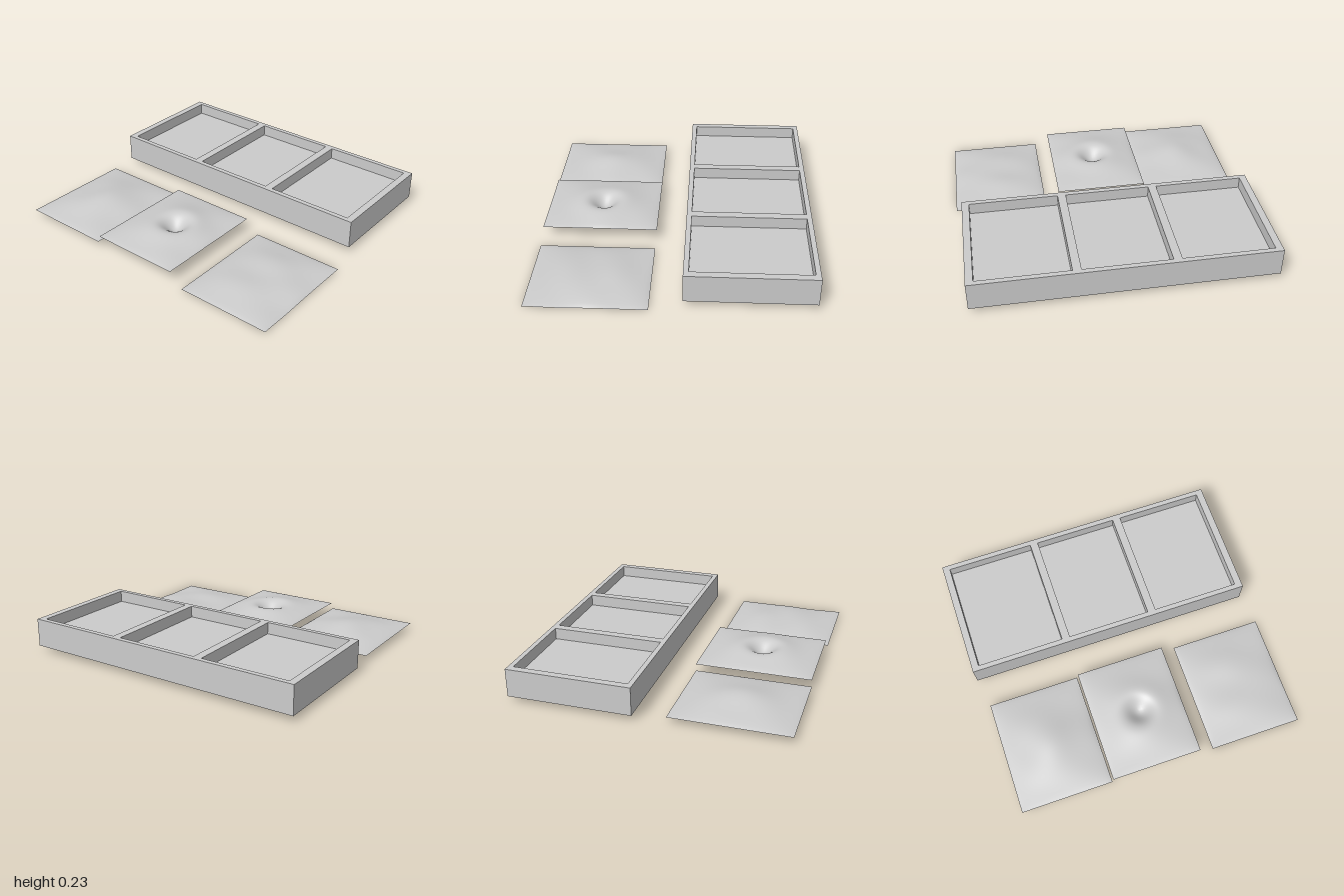
import * as THREE from 'three';

const grey = new THREE.MeshStandardMaterial({ color: 0xcccccc });
const sheetGrey = new THREE.MeshStandardMaterial({ color: 0xcccccc, side: THREE.DoubleSide });

const bell = (x, z, cx, cz, r) => Math.exp(-((x - cx) ** 2 + (z - cz) ** 2) / (r * r));

// A thin landscape sheet: a low dome with four soft swellings plus its own relief
function terrain(name, x0, x1, z0, z1, base, relief) {
  const w = x1 - x0, d = z1 - z0;
  const geo = new THREE.PlaneGeometry(w, d, 48, 40).rotateX(-Math.PI / 2);
  const p = geo.attributes.position;
  for (let i = 0; i < p.count; i++) {
    const x = p.getX(i), z = p.getZ(i);
    const u = 2 * x / w, v = 2 * z / d;
    const fade = Math.max(0, (1 - u * u) * (1 - v * v));
    const dome = 0.036 * Math.pow(fade, 0.7);
    const swell = -0.005 * Math.sqrt(fade) * Math.cos(7 * u) * Math.cos(2.5 * v + 0.6);
    p.setY(i, base + dome + swell + relief(x, z));
  }
  geo.computeVertexNormals();
  const mesh = new THREE.Mesh(geo, sheetGrey);
  mesh.name = name;
  mesh.position.set((x0 + x1) / 2, 0, (z0 + z1) / 2);
  return mesh;
}

// Tray: solid base with a frame of three pockets on top
function tray() {
  const group = new THREE.Group();
  group.name = 'tray';
  const x0 = 0.075, x1 = 0.893, z0 = -1, z1 = 0.95, bottom = 0.04, floor = 0.15, top = 0.228;

  const base = new THREE.Mesh(new THREE.BoxGeometry(x1 - x0, floor - bottom, z1 - z0), grey);
  base.name = 'trayBase';
  base.position.set((x0 + x1) / 2, (floor + bottom) / 2, (z0 + z1) / 2);

  const rect = (path, a, b, c, d) =>
    path.setFromPoints([[a, -d], [b, -d], [b, -c], [a, -c]].map(([x, y]) => new THREE.Vector2(x, y)));
  const outline = rect(new THREE.Shape(), x0, x1, z0, z1);
  for (const [a, b] of [[-0.953, -0.363], [-0.308, 0.257], [0.312, 0.902]]) {
    outline.holes.push(rect(new THREE.Path(), 0.108, 0.86, a, b));
  }
  const frameGeo = new THREE.ExtrudeGeometry(outline, { depth: top - floor, bevelEnabled: false });
  const frame = new THREE.Mesh(frameGeo.rotateX(-Math.PI / 2), grey);
  frame.name = 'pocketFrame';
  frame.position.y = floor;

  group.add(base, frame);
  return group;
}

export function createModel() {
  const model = new THREE.Group();
  model.name = 'terrainTraySet';
  model.add(tray());

  // Back sheet: a broad central hill
  model.add(terrain('hillSheet', -0.895, -0.13, -0.965, -0.342, 0.046,
    (x, z) => 0.03 * bell(x, z, 0, 0, 0.14)));

  // Middle sheet: a deep round crater inside a raised rim
  model.add(terrain('craterSheet', -0.89, -0.125, -0.333, 0.28, 0.087,
    (x, z) => 0.06 * bell(x, z, 0, 0.01, 0.14) - 0.118 * bell(x, z, 0, 0.01, 0.09)));

  // Front sheet: a shallow slanting ridge and a low dip
  model.add(terrain('rollingSheet', -0.895, -0.13, 0.375, 1, 0.004,
    (x, z) => 0.004 * bell(x, z, 0.13, 0.02, 0.12) - 0.004 * bell(x, z, -0.17, 0.31, 0.14)));

  return model;
}
